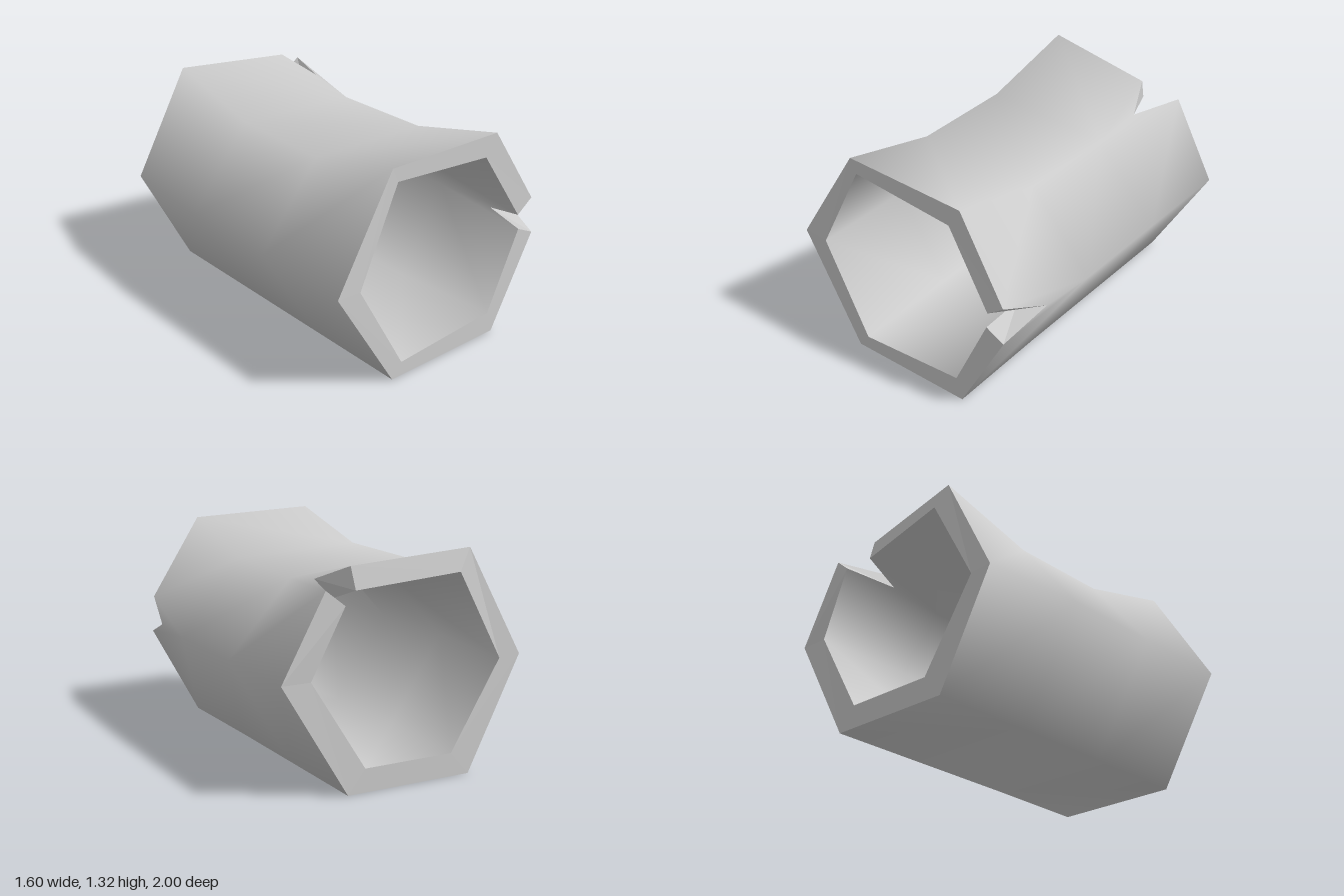
import * as THREE from 'three';
import { mergeVertices } from 'three/addons/utils/BufferGeometryUtils.js';

// Turns quads into triangles; smooth surfaces share their vertices
function surface(name, quads, smooth) {
  const pos = [];
  for (const [a, b, c, d] of quads) pos.push(...a, ...b, ...c, ...a, ...c, ...d);
  let geo = new THREE.BufferGeometry();
  geo.setAttribute('position', new THREE.Float32BufferAttribute(pos, 3));
  if (smooth) geo = mergeVertices(geo);
  geo.computeVertexNormals();
  const mesh = new THREE.Mesh(geo, new THREE.MeshStandardMaterial({ color: 0xcccccc, flatShading: !smooth }));
  mesh.name = name;
  return mesh;
}

// Six corner lines along the log, each given from front to back
const line = (front, x, y1, y2, back) => [front, [x, y1, 0.33], [x, y2, -0.33], back];
const rightOut = (front) => line(front, 0.8, 0.67, 0.67, [0.8, 0.67, -0.98]);
const rightIn = (front) => line(front, 0.62, 0.67, 0.67, [0.62, 0.67, -0.98]);
const topOut = (back) => line([0.4, 1.3, 0.97], 0.4, 1.13, 1.11, back);
const topIn = (back) => line([0.32, 1.17, 0.97], 0.32, 0.99, 0.98, back);

// Columns [outer, inner], anticlockwise seen from the front.
// The middle column of each notch is cut back to the tip of the crack.
const columns = [
  // front crack on the right corner
  [rightOut([0.72, 0.57, 1]), rightIn([0.6, 0.63, 1])],
  [rightOut([0.78, 0.68, 0.69]), rightIn([0.62, 0.67, 0.75])],
  [rightOut([0.71, 0.8, 0.99]), rightIn([0.6, 0.72, 0.99])],
  // back crack on the upper right corner
  [topOut([0.53, 1.16, -0.98]), topIn([0.42, 1.07, -1])],
  [topOut([0.42, 1.16, -0.65]), topIn([0.35, 1.04, -0.68])],
  [topOut([0.32, 1.26, -0.88]), topIn([0.31, 1.13, -0.92])],
  // upper left, left, lower left, lower right
  [line([-0.4, 1.32, 0.97], -0.4, 1.16, 1.16, [-0.4, 1.32, -0.97]),
    line([-0.36, 1.23, 0.97], -0.32, 1.02, 1.02, [-0.32, 1.19, -1])],
  [line([-0.8, 0.67, 0.99], -0.8, 0.67, 0.67, [-0.75, 0.67, -0.99]),
    line([-0.64, 0.66, 0.99], -0.64, 0.66, 0.66, [-0.61, 0.66, -0.99])],
  [line([-0.4, 0, 1], -0.4, 0, 0, [-0.4, 0, -1]),
    line([-0.33, 0.09, 1], -0.3, 0.13, 0.14, [-0.28, 0.14, -1])],
  [line([0.41, 0, 1], 0.4, 0, 0, [0.4, 0, -1]),
    line([0.37, 0.14, 1], 0.3, 0.14, 0.14, [0.29, 0.14, -1])],
];

export function createModel() {
  const bark = [], hollow = [], frontRim = [], backRim = [];
  columns.forEach(([out, inn], i) => {
    const [out2, inn2] = columns[(i + 1) % columns.length];
    for (let k = 0; k < 3; k++) {
      bark.push([out[k], out[k + 1], out2[k + 1], out2[k]]);
      hollow.push([inn[k], inn2[k], inn2[k + 1], inn[k + 1]]);
    }
    // end faces, which also form the walls of the cracks
    frontRim.push([out[0], out2[0], inn2[0], inn[0]]);
    backRim.push([out[3], inn[3], inn2[3], out2[3]]);
  });
  const log = new THREE.Group();
  log.name = 'hollowLog';
  log.add(
    surface('bark', bark, true),
    surface('hollow', hollow, true),
    surface('frontRim', frontRim, false),
    surface('backRim', backRim, false),
  );
  return log;
}
